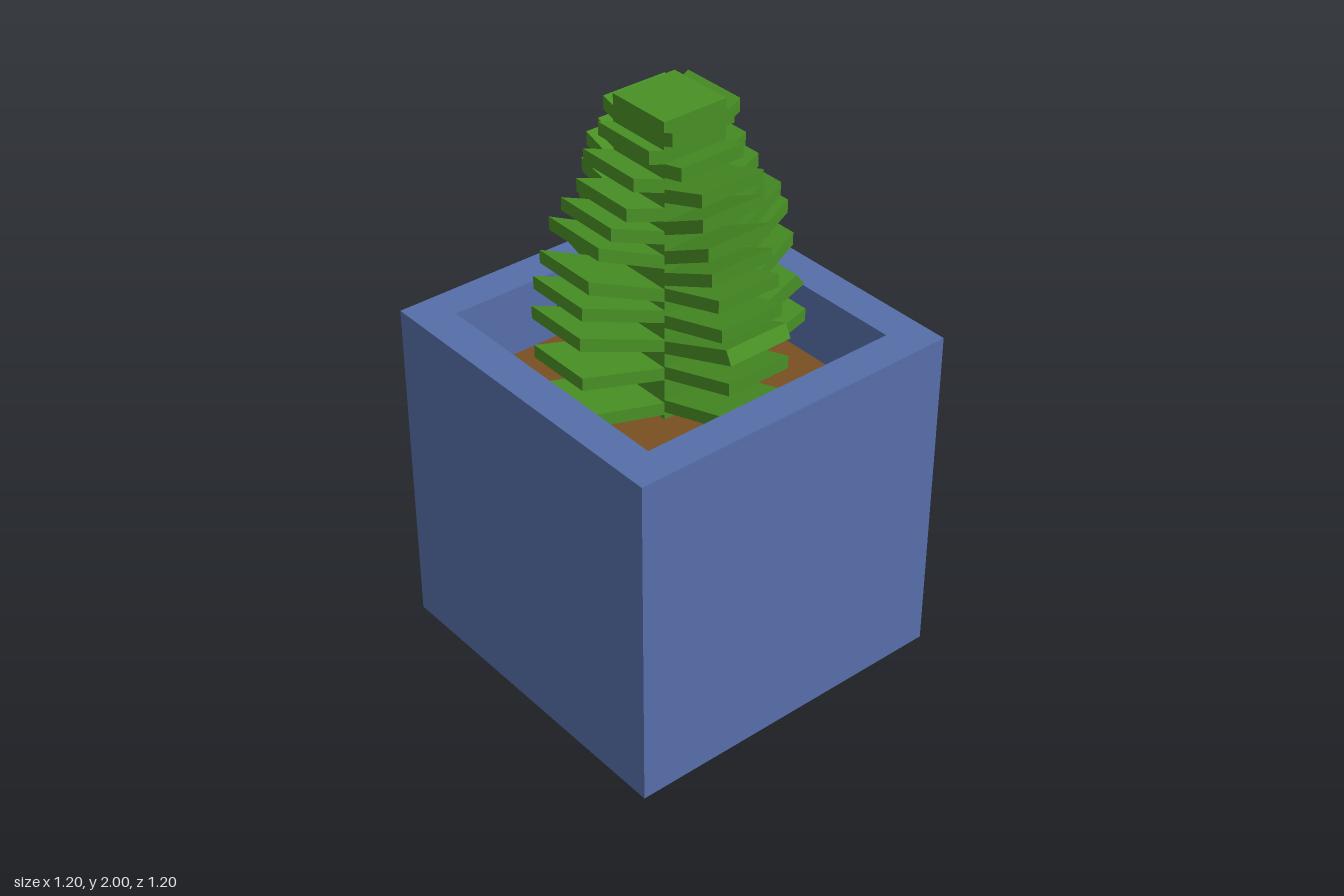
import * as THREE from 'three';

const HALF = 0.118; // half width of trunk and leaves
const THICK = 0.045;

// Leaves per side: [root height, tip distance, tip height, lower tip overhang]
const SIDES = [
  { name: 'leftLeaves', turn: 0, leaves: [
    [1.947, 0.17, 1.984], [1.81, 0.196, 1.862], [1.703, 0.249, 1.772], [1.554, 0.276, 1.676],
    [1.469, 0.344, 1.639], [1.395, 0.376, 1.565], [1.247, 0.403, 1.438], [1.14, 0.425, 1.273, 0.034],
    [1.02, 0.468, 1.13]] },
  { name: 'rightLeaves', turn: Math.PI, leaves: [
    [1.905, 0.175, 1.926], [1.81, 0.233, 1.857], [1.714, 0.26, 1.767], [1.634, 0.318, 1.724],
    [1.549, 0.365, 1.676], [1.432, 0.403, 1.576], [1.358, 0.43, 1.496], [1.252, 0.44, 1.395],
    [1.15, 0.435, 1.252], [1.02, 0.465, 1.12]] },
  { name: 'frontLeaves', turn: -Math.PI / 2, leaves: [
    [1.963, 0.154, 1.979], [1.862, 0.196, 1.883], [1.777, 0.286, 1.836], [1.666, 0.292, 1.756],
    [1.565, 0.318, 1.671], [1.491, 0.334, 1.592], [1.438, 0.366, 1.517], [1.342, 0.382, 1.422],
    [1.247, 0.402, 1.363, 0.023], [1.155, 0.418, 1.252], [1.03, 0.40, 1.12]] },
  { name: 'backLeaves', turn: Math.PI / 2, leaves: [
    [1.957, 0.164, 1.974], [1.862, 0.191, 1.889], [1.772, 0.249, 1.82], [1.676, 0.276, 1.719],
    [1.533, 0.292, 1.613], [1.459, 0.323, 1.544], [1.342, 0.376, 1.438], [1.235, 0.37, 1.31],
    [1.04, 0.425, 1.14]] },
];

function square(half, Type) {
  return new Type([[-1, -1], [1, -1], [1, 1], [-1, 1]].map(([x, y]) => new THREE.Vector2(x * half, y * half)));
}

// Slanted plate growing outward along +x
function leafGeometry([rootY, tipX, tipY, overhang = 0]) {
  const profile = new THREE.Shape([
    new THREE.Vector2(HALF - 0.01, rootY - THICK),
    new THREE.Vector2(tipX + overhang, tipY - THICK),
    new THREE.Vector2(tipX, tipY),
    new THREE.Vector2(HALF - 0.01, rootY),
  ]);
  const geometry = new THREE.ExtrudeGeometry(profile, { depth: 2 * HALF, bevelEnabled: false });
  return geometry.translate(0, 0, -HALF);
}

export function createModel() {
  const potBlue = new THREE.MeshStandardMaterial({ color: 0x566eaa });
  const soilBrown = new THREE.MeshStandardMaterial({ color: 0x7a4f22 });
  const leafGreen = new THREE.MeshStandardMaterial({ color: 0x489024 });
  potBlue.name = 'potBlue';
  soilBrown.name = 'soilBrown';
  leafGreen.name = 'leafGreen';

  const model = new THREE.Group();
  model.name = 'pottedPlant';

  function add(parent, name, geometry, material, y = 0) {
    const mesh = new THREE.Mesh(geometry, material);
    mesh.name = name;
    mesh.position.y = y;
    parent.add(mesh);
    return mesh;
  }

  // Square pot: walls around an opening, with a floor inside
  const outline = square(0.6, THREE.Shape);
  outline.holes.push(square(0.475, THREE.Path));
  const walls = new THREE.ExtrudeGeometry(outline, { depth: 1.205, bevelEnabled: false });
  add(model, 'potWalls', walls.rotateX(-Math.PI / 2), potBlue);
  add(model, 'potFloor', new THREE.BoxGeometry(0.95, 0.1, 0.95), potBlue, 0.05);
  add(model, 'soil', new THREE.BoxGeometry(0.95, 0.86, 0.95), soilBrown, 0.53);

  // Trunk and the four columns of leaves
  const plant = new THREE.Group();
  plant.name = 'plant';
  model.add(plant);
  add(plant, 'trunk', new THREE.BoxGeometry(2 * HALF, 1.04, 2 * HALF), leafGreen, 1.48);
  for (const { name, turn, leaves } of SIDES) {
    const column = new THREE.Group();
    column.name = name;
    column.rotation.y = turn;
    leaves.forEach((leaf) => add(column, 'leaf', leafGeometry(leaf), leafGreen));
    plant.add(column);
  }
  return model;
}
